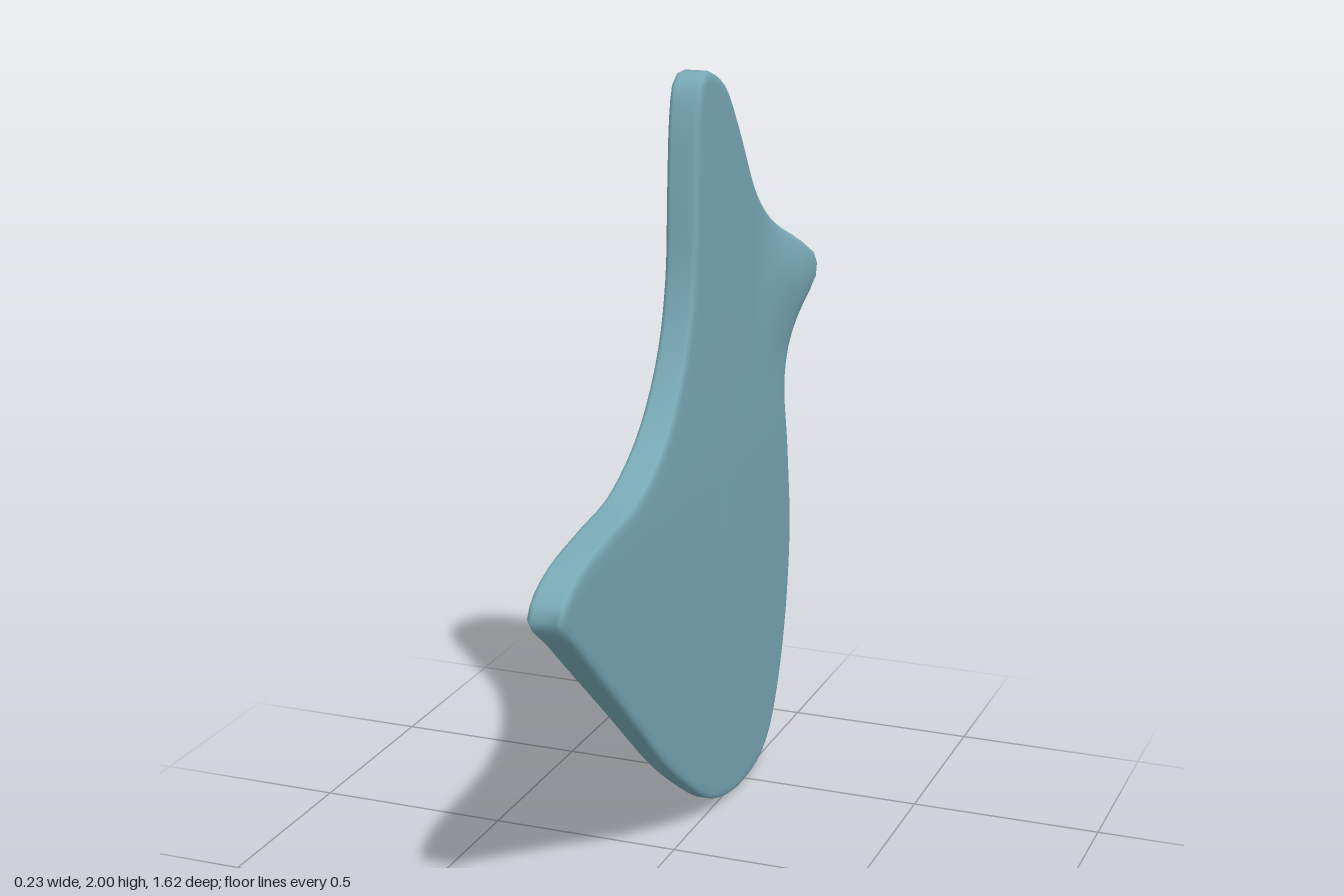
import * as THREE from 'three';

// Outline of the plate as [z, y], from the front tip up, over the top and down the back
const OUTLINE = [
  [0.812, 0.905], [0.775, 0.955], [0.69, 0.995], [0.52, 1.028], [0.33, 1.06], [0.15, 1.16],
  [0.02, 1.33], [-0.033, 1.5], [-0.046, 1.72], [-0.06, 1.9], [-0.085, 1.98], [-0.13, 2.0],
  [-0.19, 1.985], [-0.27, 1.94], [-0.36, 1.83], [-0.49, 1.645], [-0.6, 1.55], [-0.72, 1.475],
  [-0.765, 1.43], [-0.785, 1.37], [-0.755, 1.26], [-0.722, 1.07], [-0.765, 0.86],
  [-0.803, 0.66], [-0.806, 0.5], [-0.785, 0.32], [-0.735, 0.15], [-0.68, 0.06], [-0.6, 0.015],
  [-0.47, 0.0], [-0.35, 0.013], [-0.22, 0.055], [-0.08, 0.14], [0.1, 0.27], [0.4, 0.535],
  [0.7, 0.8],
];
const CENTRE = new THREE.Vector2(-0.25, 0.85);
const BEVEL = 0.025;

const smooth = THREE.MathUtils.smoothstep;

// Half thickness: thin at the bottom, flared at the knob on the back edge
function halfWidth(z, y) {
  const base = y < 0.95 ? 0.021 + 0.026 * Math.pow(Math.max(y, 0) / 0.95, 0.9)
    : 0.047 - 0.005 * smooth(y, 0.95, 1.3);
  const back = Math.pow(THREE.MathUtils.clamp((-0.48 - z) / 0.28, 0, 1), 1.5);
  const dy = (y - 1.42) / (y > 1.42 ? 0.1 : 0.18);
  return base + 0.078 * back * Math.exp(-dy * dy);
}

function plateGeometry() {
  const curve = new THREE.CatmullRomCurve3(
    OUTLINE.map(([z, y]) => new THREE.Vector3(z, y, 0)), true, 'centripetal');
  const n = 144;
  const edge = [];
  for (let i = 0; i < n; i++) {
    const p = curve.getPointAt(i / n), t = curve.getTangentAt(i / n);
    edge.push({ p: new THREE.Vector2(p.x, p.y), inward: new THREE.Vector2(-t.y, t.x) });
  }

  // Rings from the centre of a face out to the rim: scale, inset, width factor
  const half = [0, 0.2, 0.4, 0.55, 0.68, 0.78, 0.86, 0.93, 1].map((s) => [s, BEVEL, 1]);
  half.push([1, BEVEL * 0.45, 0.95], [1, BEVEL * 0.12, 0.84], [1, 0, 0.65]);
  const rings = [
    ...half.map((r) => [...r, 1]),
    ...half.slice().reverse().map((r) => [...r, -1]),
  ];

  const pos = [], index = [];
  rings.forEach(([scale, inset, width, side], k) => {
    edge.forEach(({ p, inward }, i) => {
      const q = p.clone().addScaledVector(inward, inset).sub(CENTRE).multiplyScalar(scale).add(CENTRE);
      pos.push(side * width * halfWidth(q.x, q.y), q.y, q.x);
      if (k === rings.length - 1) return;
      const j = (i + 1) % n;
      const a = k * n + i, b = k * n + j, c = a + n, d = b + n;
      if (k > 0) index.push(a, b, c);
      if (k < rings.length - 2) index.push(b, d, c);
    });
  });
  const geo = new THREE.BufferGeometry();
  geo.setAttribute('position', new THREE.Float32BufferAttribute(pos, 3));
  geo.setIndex(index);
  geo.computeVertexNormals();

  // Give every centre vertex of a face the same sideways normal
  const normal = geo.attributes.normal;
  for (let i = 0; i < n; i++) {
    normal.setXYZ(i, 1, 0, 0);
    normal.setXYZ((rings.length - 1) * n + i, -1, 0, 0);
  }
  return geo;
}

export function createModel() {
  const group = new THREE.Group();
  group.name = 'flaredPlate';
  const blueGrey = new THREE.MeshStandardMaterial({ color: 0x78a9b6 });
  blueGrey.name = 'blueGrey';
  const plate = new THREE.Mesh(plateGeometry(), blueGrey);
  plate.name = 'plate';
  group.add(plate);
  return group;
}
